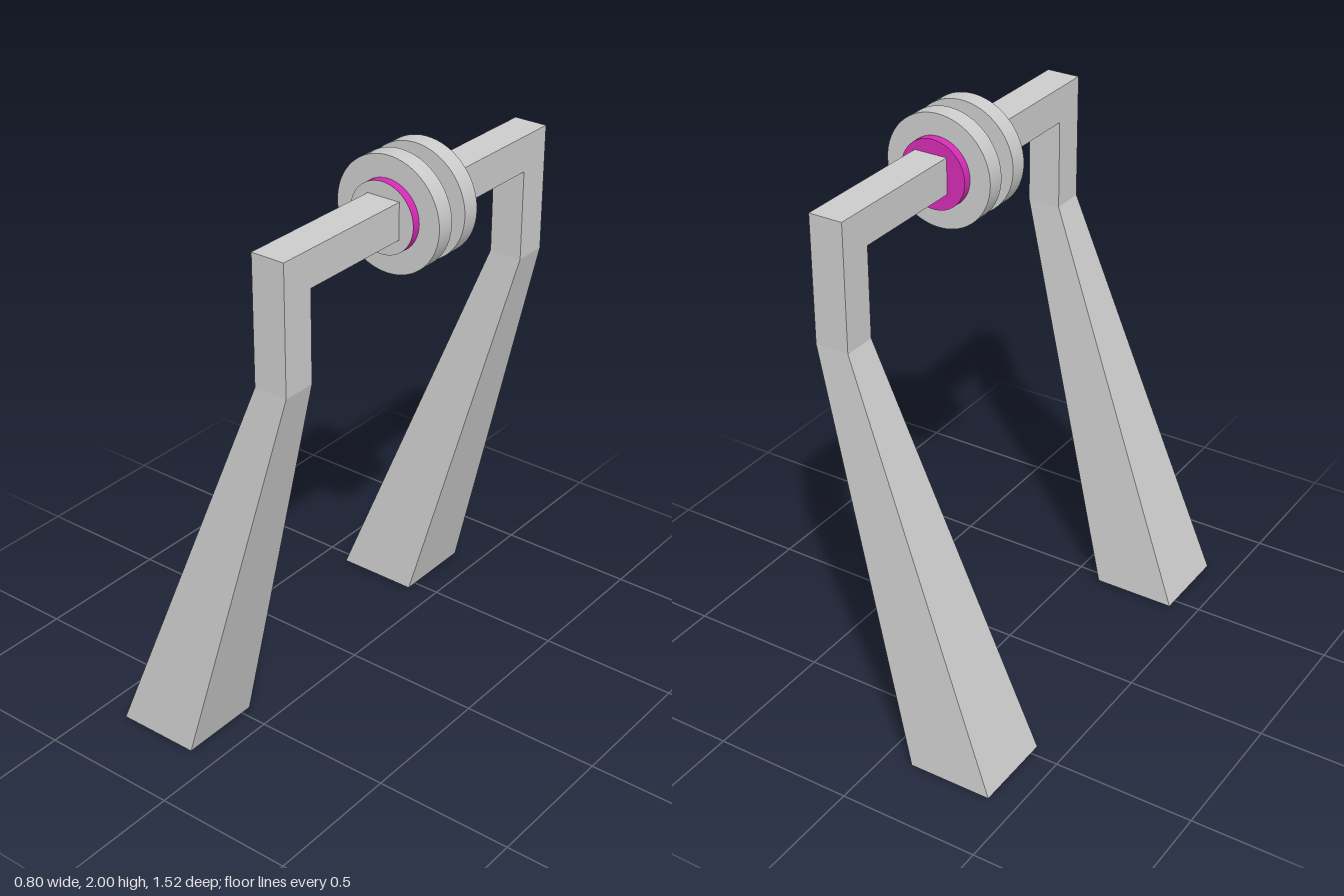
import * as THREE from 'three';

const grey = new THREE.MeshStandardMaterial({ color: 0xcccccc, flatShading: true });
const smoothGrey = new THREE.MeshStandardMaterial({ color: 0xcccccc });
const magenta = new THREE.MeshStandardMaterial({ color: 0xd42cb4 });

// Square-section post through rectangles given as [y, x0, x1, z0, z1]
function loftGeometry(sections) {
  const positions = [];
  const rings = sections.map(([y, x0, x1, z0, z1]) => [[x0, y, z1], [x1, y, z1], [x1, y, z0], [x0, y, z0]]);
  const quad = (a, b, c, d) => positions.push(...a, ...b, ...c, ...a, ...c, ...d);
  for (let i = 0; i < rings.length - 1; i++) {
    for (let k = 0; k < 4; k++) {
      const n = (k + 1) % 4;
      quad(rings[i][k], rings[i][n], rings[i + 1][n], rings[i + 1][k]);
    }
  }
  const bottom = rings[0], top = rings[rings.length - 1];
  quad(bottom[3], bottom[2], bottom[1], bottom[0]);
  quad(top[0], top[1], top[2], top[3]);
  const geometry = new THREE.BufferGeometry();
  geometry.setAttribute('position', new THREE.Float32BufferAttribute(positions, 3));
  geometry.computeVertexNormals();
  return geometry;
}

export function createModel() {
  const model = new THREE.Group();
  const add = (parent, name, geometry, material, x = 0, y = 0, z = 0) => {
    const mesh = new THREE.Mesh(geometry, material);
    mesh.name = name;
    mesh.position.set(x, y, z);
    parent.add(mesh);
    return mesh;
  };

  // Tapered, leaning legs with a straight neck under the beam
  for (const [name, s] of [['frontLeg', 1], ['backLeg', -1]]) {
    const span = (a, b) => (s > 0 ? [a, b] : [-b, -a]);
    add(model, name, loftGeometry([
      [0, -0.4, -0.1, ...span(0.46, 0.76)],
      [1.435, 0.152, 0.272, ...span(0.552, 0.672)],
      [1.75, 0.152, 0.272, ...span(0.552, 0.672)],
    ]), grey);
  }

  // Crossbeam
  add(model, 'crossbeam', new THREE.BoxGeometry(0.12, 0.125, 1.344), grey, 0.212, 1.8125, 0);

  // Pulley, axis along z
  const pulley = new THREE.Group();
  pulley.name = 'pulley';
  pulley.position.set(0.205, 1.805, 0);
  model.add(pulley);

  for (const [side, s] of [['front', 1], ['back', -1]]) {
    const flange = new THREE.CylinderGeometry(0.195, 0.195, 0.064, 64).rotateX(Math.PI / 2);
    add(pulley, side + 'Flange', flange, smoothGrey, 0, 0, s * 0.066);
    const washer = new THREE.CylinderGeometry(0.12, 0.12, 0.03, 48).rotateX(Math.PI / 2);
    add(pulley, side + 'Washer', washer, magenta, 0, 0, s * 0.113);
  }

  // Grey face on the front washer
  add(pulley, 'frontWasherFace', new THREE.CircleGeometry(0.12, 48), smoothGrey, 0, 0, 0.129);

  // Rounded rope groove between the flanges
  const profile = [];
  for (let i = 0; i <= 12; i++) {
    const a = -Math.PI / 2 + (Math.PI * i) / 12;
    profile.push(new THREE.Vector2(0.119 - 0.035 * Math.cos(a), 0.035 * Math.sin(a)));
  }
  add(pulley, 'ropeGroove', new THREE.LatheGeometry(profile, 48).rotateX(Math.PI / 2), smoothGrey);

  return model;
}
